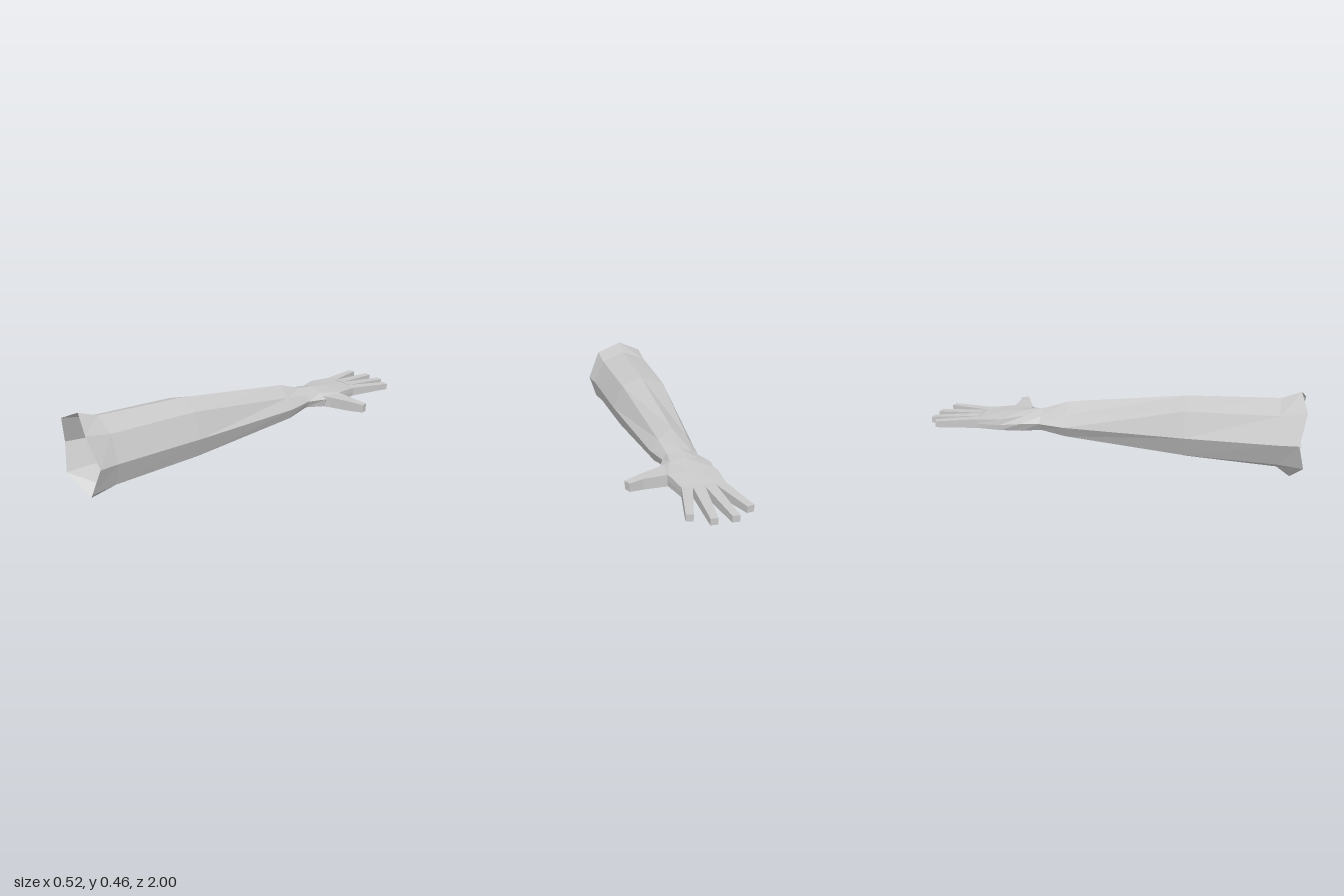
import * as THREE from 'three';

const skin = new THREE.MeshStandardMaterial({ color: 0xc8c8c8, side: THREE.DoubleSide, flatShading: true });
skin.name = 'plain grey';

// Skin a list of rings (arrays of [x, y, z]) with quads, optionally closing the last ring.
function loft(name, rings, capEnd = false) {
  const n = rings[0].length, pos = [];
  const tri = (...pts) => pts.forEach((p) => pos.push(...p));
  for (let i = 0; i < rings.length - 1; i++) {
    for (let j = 0; j < n; j++) {
      const k = (j + 1) % n;
      const a = rings[i][j], b = rings[i][k], c = rings[i + 1][j], d = rings[i + 1][k];
      tri(a, b, c);
      tri(b, d, c);
    }
  }
  const end = rings[rings.length - 1];
  if (capEnd) for (let j = 1; j < n - 1; j++) tri(end[0], end[j], end[j + 1]);
  const geometry = new THREE.BufferGeometry();
  geometry.setAttribute('position', new THREE.Float32BufferAttribute(pos, 3));
  geometry.computeVertexNormals();
  const mesh = new THREE.Mesh(geometry, skin);
  mesh.name = name;
  return mesh;
}

// Eight-sided arm section: heights from top to bottom, then x of side, upper and lower corners.
function armRing(z, [top, up, mid, low, bottom], [left, right], [upL, upR], [lowL, lowR], dz = [0, 0, 0, 0, 0]) {
  const c = -0.067;
  return [
    [c, top, z + dz[0]], [upR, up, z + dz[1]], [right, mid, z + dz[2]], [lowR, low, z + dz[3]],
    [c, bottom, z + dz[4]], [lowL, low, z + dz[3]], [left, mid, z + dz[2]], [upL, up, z + dz[1]],
  ];
}

// Four-sided digit section between two outline points [x, z].
function digitRing([xl, zl], [xr, zr], y0, y1) {
  return [[xl, y1, zl], [xr, y1, zr], [xr, y0, zr], [xl, y0, zl]];
}

export function createModel() {
  const model = new THREE.Group();
  model.name = 'arm';

  // Open sleeve end with a scalloped rim, tapering forearm
  const wrist = armRing(-0.38, [0.288, 0.262, 0.23, 0.188, 0.178], [-0.168, 0.022], [-0.13, 0], [-0.14, 0]);
  model.add(loft('forearm', [
    armRing(1, [0.465, 0.4, 0.245, 0.105, 0.003], [-0.262, 0.135], [-0.203, 0.067], [-0.205, 0.087],
      [-0.03, 0, -0.03, 0, -0.06]),
    armRing(0.87, [0.427, 0.375, 0.24, 0.115, 0.052], [-0.255, 0.118], [-0.203, 0.06], [-0.195, 0.075]),
    armRing(0.4, [0.41, 0.365, 0.235, 0.125, 0.073], [-0.24, 0.1], [-0.198, 0.045], [-0.19, 0.06]),
    armRing(-0.24, [0.335, 0.282, 0.225, 0.165, 0.148], [-0.185, 0.05], [-0.15, 0.005], [-0.15, 0.025]),
    wrist,
  ]));

  // Palm flattening towards the knuckles
  model.add(loft('palm', [
    wrist,
    armRing(-0.47, [0.275, 0.26, 0.235, 0.19, 0.187], [-0.2, 0.062], [-0.135, 0.01], [-0.18, 0.05]),
    armRing(-0.59, [0.258, 0.25, 0.22, 0.19, 0.188], [-0.197, 0.056], [-0.192, 0.054], [-0.194, 0.054]),
    armRing(-0.725, [0.242, 0.24, 0.215, 0.191, 0.191], [-0.19, 0.026], [-0.189, 0.025], [-0.189, 0.025]),
  ]));

  // Fingers: base left, base right, tip left, tip right, tip heights
  const fingers = [
    [[-0.19, -0.72], [-0.136, -0.73], [-0.24, -0.94], [-0.204, -0.948], 0.197, 0.23],
    [[-0.136, -0.73], [-0.082, -0.735], [-0.152, -1], [-0.116, -1], 0.19, 0.222],
    [[-0.082, -0.735], [-0.024, -0.73], [-0.052, -1], [-0.016, -1], 0.19, 0.222],
    [[-0.024, -0.73], [0.026, -0.715], [0.046, -0.96], [0.08, -0.95], 0.197, 0.23],
  ];
  fingers.forEach(([bl, br, tl, tr, y0, y1], i) => {
    model.add(loft(`finger${i + 1}`, [
      digitRing(bl, br, 0.191, 0.241),
      digitRing(tl, tr, y0, y1),
    ], true));
  });

  // Thumb pointing out to the side
  model.add(loft('thumb', [
    digitRing([0.045, -0.59], [0.045, -0.47], 0.187, 0.249),
    digitRing([0.06, -0.588], [0.078, -0.492], 0.187, 0.247),
    digitRing([0.175, -0.593], [0.19, -0.543], 0.188, 0.244),
    digitRing([0.245, -0.612], [0.26, -0.575], 0.194, 0.237),
  ], true));

  return model;
}
